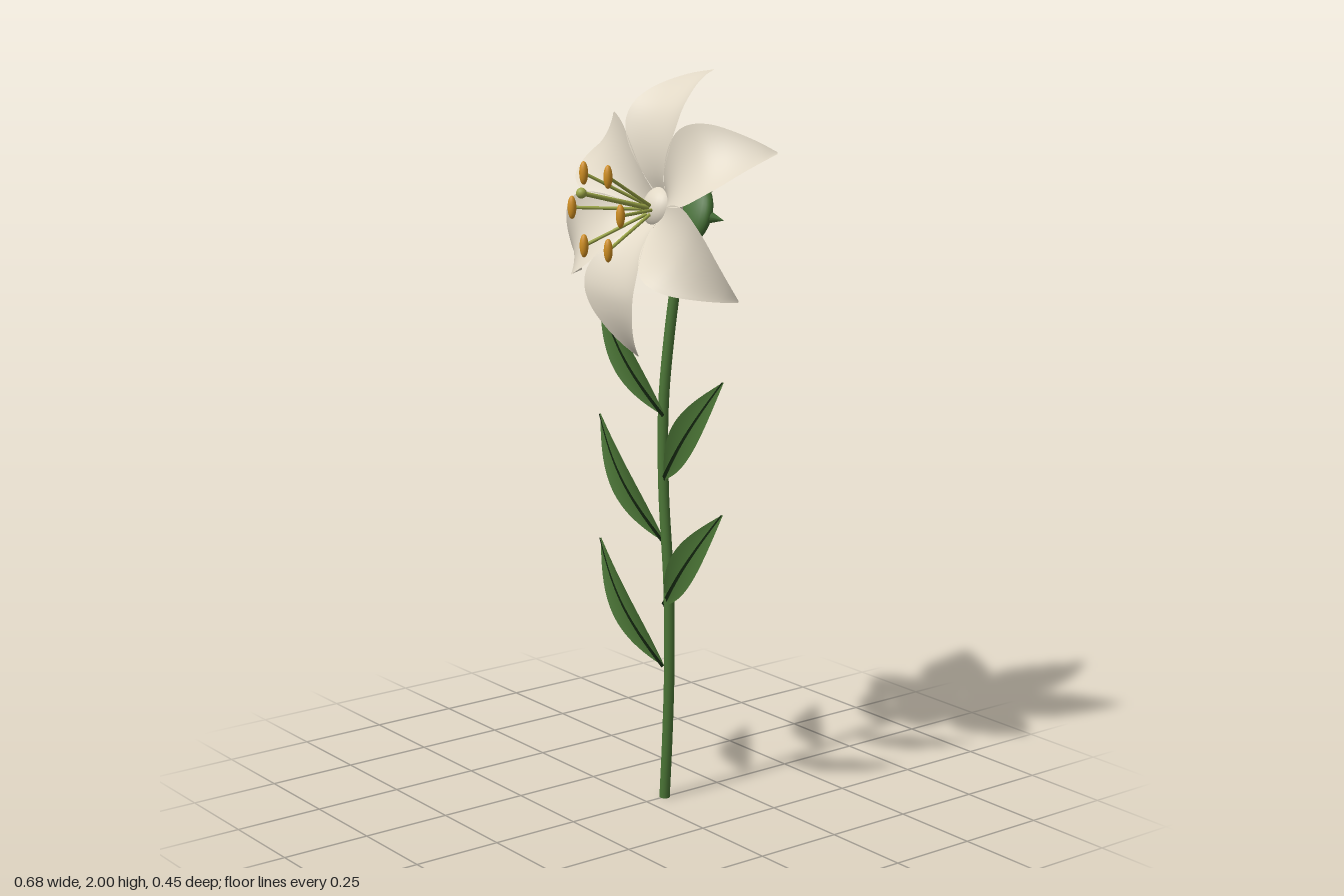
import * as THREE from 'three';

const V = (x, y, z) => new THREE.Vector3(x, y, z);
const mat = (name, color, side = THREE.FrontSide) => {
  const m = new THREE.MeshStandardMaterial({ color, side });
  m.name = name;
  return m;
};

// Smooth sheet from a rule: t runs 0..1 along the length, s runs -1..1 across
function sheet(rows, cols, rule) {
  const pos = [], idx = [];
  for (let i = 0; i <= rows; i++) {
    for (let j = 0; j <= cols; j++) pos.push(...rule(i / rows, (2 * j) / cols - 1));
  }
  const w = cols + 1;
  for (let i = 0; i < rows; i++) {
    for (let j = 0; j < cols; j++) {
      const a = i * w + j, b = a + 1, c = a + w, d = c + 1;
      idx.push(a, b, c, b, d, c);
    }
  }
  const g = new THREE.BufferGeometry();
  g.setAttribute('position', new THREE.Float32BufferAttribute(pos, 3));
  g.setIndex(idx);
  g.computeVertexNormals();
  return g;
}

export function createModel() {
  const model = new THREE.Group();
  model.name = 'lily';
  const petalMat = mat('petalCream', 0xe0d7c5, THREE.DoubleSide);
  const stemMat = mat('stemGreen', 0x4a7435);
  const leafMat = mat('leafGreen', 0x466e32, THREE.DoubleSide);
  const ribMat = mat('ribDarkGreen', 0x11220d, THREE.DoubleSide);
  const calyxMat = mat('calyxGreen', 0x436d32);
  const filamentMat = mat('filamentOlive', 0x9ca648);
  const antherMat = mat('antherOrange', 0xd08f22);

  const add = (parent, name, geo, material, p = V(0, 0, 0)) => {
    const m = new THREE.Mesh(geo, material);
    m.name = name;
    m.position.copy(p);
    parent.add(m);
    return m;
  };
  const up = V(0, 1, 0);
  // Straight rod or cone between two points
  const rod = (parent, name, a, b, r0, r1, material) => {
    const d = b.clone().sub(a);
    const m = add(parent, name, new THREE.CylinderGeometry(r1, r0, d.length(), 12), material,
      a.clone().add(b).multiplyScalar(0.5));
    m.quaternion.setFromUnitVectors(up, d.normalize());
  };

  // Stem
  const stem = new THREE.CatmullRomCurve3([
    V(0, 0, -0.063), V(0.012, 0.18, -0.063), V(0.02, 0.38, -0.063), V(0.016, 0.62, -0.063),
    V(-0.008, 0.88, -0.064), V(-0.02, 1.1, -0.072), V(-0.015, 1.3, -0.088), V(0, 1.6, -0.125),
  ]);
  add(model, 'stem', new THREE.TubeGeometry(stem, 60, 0.0148, 14), stemMat);
  const foot = add(model, 'stemFoot', new THREE.CircleGeometry(0.0148, 14), stemMat, V(0, 0.001, -0.063));
  foot.rotation.x = Math.PI / 2;

  // Leaves alternate up the stem, each with a dark rib on its front
  const L = Math.hypot(0.27, 0.312), dx = 0.27 / L, dy = 0.312 / L;
  const leafRule = (halfWidth, lift) => (t, s) => {
    const hw = halfWidth(t);
    const side = s * hw + 0.008 * Math.sin(Math.PI * t);
    const z = -0.061 + 0.026 * Math.sin(Math.PI * t) + 0.016 * t + 0.01 * s * s * (hw / 0.05) + lift;
    return [dx * L * t + dy * side, dy * L * t - dx * side, z];
  };
  const leafGeo = sheet(24, 10, leafRule((t) => 0.05 * Math.sin(Math.PI * Math.pow(t, 0.9)) + 0.001, 0));
  const ribGeo = sheet(24, 2, leafRule((t) => 0.0068 * (1 - 0.7 * t), 0.004));
  [[0.38, -1], [0.555, 1], [0.735, -1], [0.91, 1], [1.085, -1]].forEach(([y, side]) => {
    const leaf = new THREE.Group();
    leaf.name = side > 0 ? 'leftLeaf' : 'rightLeaf';
    leaf.position.y = y;
    leaf.scale.x = side;
    add(leaf, 'leafBlade', leafGeo, leafMat);
    add(leaf, 'leafRib', ribGeo, ribMat);
    model.add(leaf);
  });

  // Flower head, tipped back
  const flower = new THREE.Group();
  flower.name = 'flower';
  flower.position.set(0, 1.63, -0.095);
  flower.rotation.x = -0.326;
  model.add(flower);
  const heartBall = add(flower, 'receptacle', new THREE.SphereGeometry(1, 28, 20), petalMat, V(0, 0.003, 0.045));
  heartBall.scale.set(0.06, 0.06, 0.05);

  // Petals: midline in y (outward) and z (forward), half width along it in x
  const midline = new THREE.CatmullRomCurve3([
    V(0.016, 0.03, 0.055), V(0.046, 0.08, 0.094), V(0.085, 0.14, 0.12), V(0.108, 0.2, 0.129),
    V(0.106, 0.25, 0.123), V(0.09, 0.295, 0.102), V(0.062, 0.335, 0.071), V(0.03, 0.37, 0.032),
    V(0.003, 0.392, -0.003),
  ]);
  const petalGeo = sheet(32, 14, (t, s) => {
    const p = midline.getPoint(t);
    return [s * p.x, p.y, p.z + 0.026 * s * s * (p.x / 0.108)];
  });
  for (let i = 0; i < 6; i++) {
    add(flower, 'petal', petalGeo, petalMat).rotation.z = (i * Math.PI) / 3;
  }

  // Spiked calyx behind the petals
  const calyx = new THREE.Group();
  calyx.name = 'calyx';
  calyx.position.set(0, 0.01, -0.04);
  flower.add(calyx);
  add(calyx, 'calyxDisc', new THREE.SphereGeometry(1, 32, 20), calyxMat).scale.set(0.095, 0.095, 0.035);
  for (let i = 0; i < 6; i++) {
    const a = (i * Math.PI) / 3, c = Math.cos(a), s = Math.sin(a);
    rod(calyx, 'calyxSpike', V(c * 0.076, s * 0.076, -0.006), V(c * 0.12, s * 0.12, -0.03), 0.02, 0, calyxMat);
  }

  // Stamens with upright anthers
  const heart = V(0, 1.645, -0.03);
  const antherGeo = new THREE.SphereGeometry(0.0118, 16, 12).scale(1, 2.6, 1);
  for (let i = 0; i < 6; i++) {
    const a = (i * Math.PI) / 3;
    const tip = V(Math.cos(a) * 0.106, 1.655 + Math.sin(a) * 0.11, 0.165);
    rod(model, 'filament', heart, tip, 0.0045, 0.0045, filamentMat);
    add(model, 'anther', antherGeo, antherMat, tip);
  }

  // Pistil
  const stigma = V(0, 1.707, 0.211);
  rod(model, 'pistil', heart, stigma, 0.007, 0.006, filamentMat);
  add(model, 'stigma', new THREE.SphereGeometry(0.014, 18, 14), filamentMat, stigma);

  return model;
}
